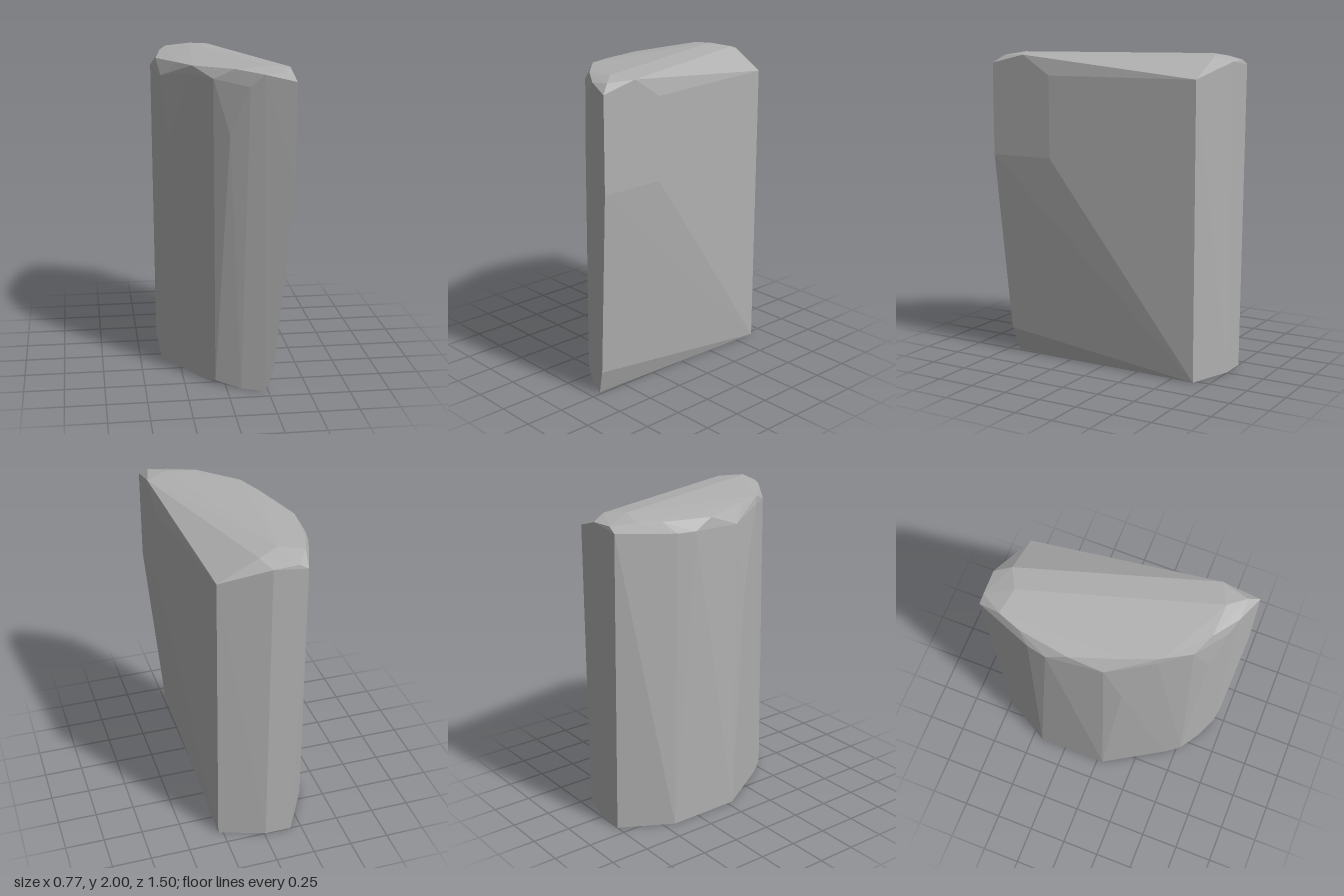
import * as THREE from 'three';
import { ConvexGeometry } from 'three/addons/geometries/ConvexGeometry.js';

// Faceted stone slab: one flat side, one bulging side, bevelled rim
export function createModel() {
  const stone = new THREE.MeshStandardMaterial({ color: 0xb0b0b0 });
  stone.name = 'stone grey';

  // corners as [x, y, z], grouped by level
  const base = [
    [0.28, 0, -0.65], [-0.01, 0, -0.75], [-0.18, 0, -0.75], [-0.36, 0, -0.43],
    [-0.36, 0, 0.04], [-0.12, 0, 0.44], [0.09, 0, 0.62], [0.23, 0, 0.68],
  ];
  const sides = [
    [-0.06, 0.025, 0.53], [0.28, 0.16, 0.7], [0.385, 1.34, 0.32], [0.385, 1.34, 0.745],
    [-0.31, 1.46, 0.16], [0.02, 1.6, 0.585],
  ];
  const shoulder = [
    [0.28, 1.86, -0.65], [-0.02, 1.955, -0.75], [-0.23, 1.93, -0.75], [-0.36, 1.9, -0.4],
    [-0.385, 1.9, -0.28], [-0.345, 1.88, 0.06], [-0.2, 1.93, 0.335], [-0.07, 1.92, 0.505],
    [0.13, 1.89, 0.645], [0.385, 1.93, 0.745], [0.385, 1.86, 0.32],
  ];
  const crown = [
    [-0.175, 1.96, -0.745], [0.03, 1.985, -0.65], [-0.1, 2, -0.58], [-0.26, 1.98, -0.61],
    [-0.31, 1.97, -0.47], [-0.36, 1.96, -0.15], [-0.25, 1.975, 0.18], [-0.18, 1.98, 0.355],
    [0.05, 1.985, 0.57], [0.25, 2, 0.58], [0.21, 1.965, 0.68], [0.34, 1.98, 0.68],
    [0.385, 1.985, 0.51],
  ];

  const points = [...base, ...sides, ...shoulder, ...crown].map((p) => new THREE.Vector3(...p));
  const slab = new THREE.Mesh(new ConvexGeometry(points), stone);
  slab.name = 'stoneSlab';

  const group = new THREE.Group();
  group.name = 'stone';
  group.add(slab);
  return group;
}
